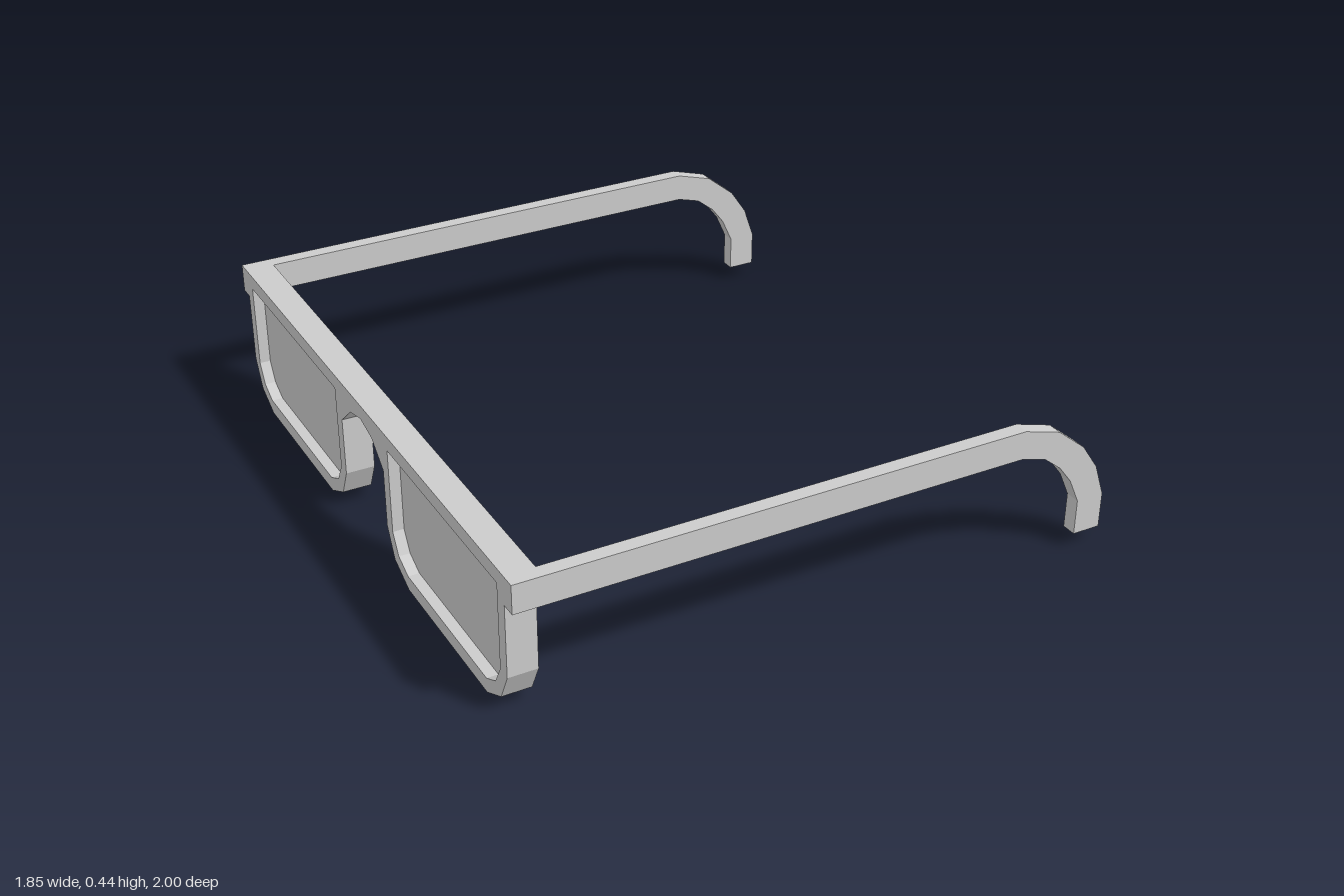
import * as THREE from 'three';

const material = new THREE.MeshStandardMaterial({ color: 0xcccccc, flatShading: true });

const vectors = (points) => points.map(([a, b]) => new THREE.Vector2(a, b));
const mirrored = (points) => points.map(([a, b]) => [-a, b]).reverse();

// Extrudes an outline and names the resulting mesh
function extrude(name, shape, depth) {
  const geometry = new THREE.ExtrudeGeometry(shape, { depth, bevelEnabled: false });
  const mesh = new THREE.Mesh(geometry, material);
  mesh.name = name;
  return mesh;
}

// Extrudes a (z, y) outline from x = back towards -x
function extrudeFront(name, shape, back, depth) {
  const mesh = extrude(name, shape, depth);
  mesh.geometry.rotateY(-Math.PI / 2);
  mesh.geometry.translate(back, 0, 0);
  return mesh;
}

export function createModel() {
  const group = new THREE.Group();
  group.name = 'glasses';

  // Half of the front frame, counterclockwise: bridge arch, rim, then the brow bar end
  const halfFrame = [
    [0.08, 0.38], [0.157, 0.315], [0.157, 0.134], [0.2, 0.046], [0.295, 0],
    [0.82, 0], [0.91, 0.046], [0.954, 0.134], [0.954, 0.357], [1, 0.357], [1, 0.445],
  ];
  const lensOutline = [
    [0.912, 0.4], [0.912, 0.136], [0.878, 0.075], [0.82, 0.045],
    [0.295, 0.045], [0.233, 0.075], [0.198, 0.136], [0.198, 0.4],
  ];
  const lensOutlines = [lensOutline, mirrored(lensOutline)];

  // Front frame with both lens openings
  const frameShape = new THREE.Shape(vectors([[0, 0.4], ...halfFrame, ...mirrored(halfFrame)]));
  for (const outline of lensOutlines) frameShape.holes.push(new THREE.Path(vectors(outline)));
  group.add(extrudeFront('frontFrame', frameShape, -0.835, 0.088));

  // Lenses recessed in the middle of the rims
  lensOutlines.forEach((outline, i) => {
    const name = i === 0 ? 'lensLeft' : 'lensRight';
    group.add(extrudeFront(name, new THREE.Shape(vectors(outline)), -0.869, 0.02));
  });

  // Temple arms with hooked ear ends
  const arm = new THREE.Shape(vectors([
    [-0.835, 0.357], [0.625, 0.357], [0.7, 0.335], [0.758, 0.289], [0.8, 0.235],
    [0.835, 0.158], [0.835, 0.047], [0.923, 0.047], [0.923, 0.158], [0.889, 0.257],
    [0.835, 0.336], [0.743, 0.41], [0.625, 0.445], [-0.835, 0.445],
  ]));
  for (const [name, z] of [['templeLeft', 0.954], ['templeRight', -1]]) {
    const temple = extrude(name, arm, 0.046);
    temple.position.z = z;
    group.add(temple);
  }

  return group;
}
